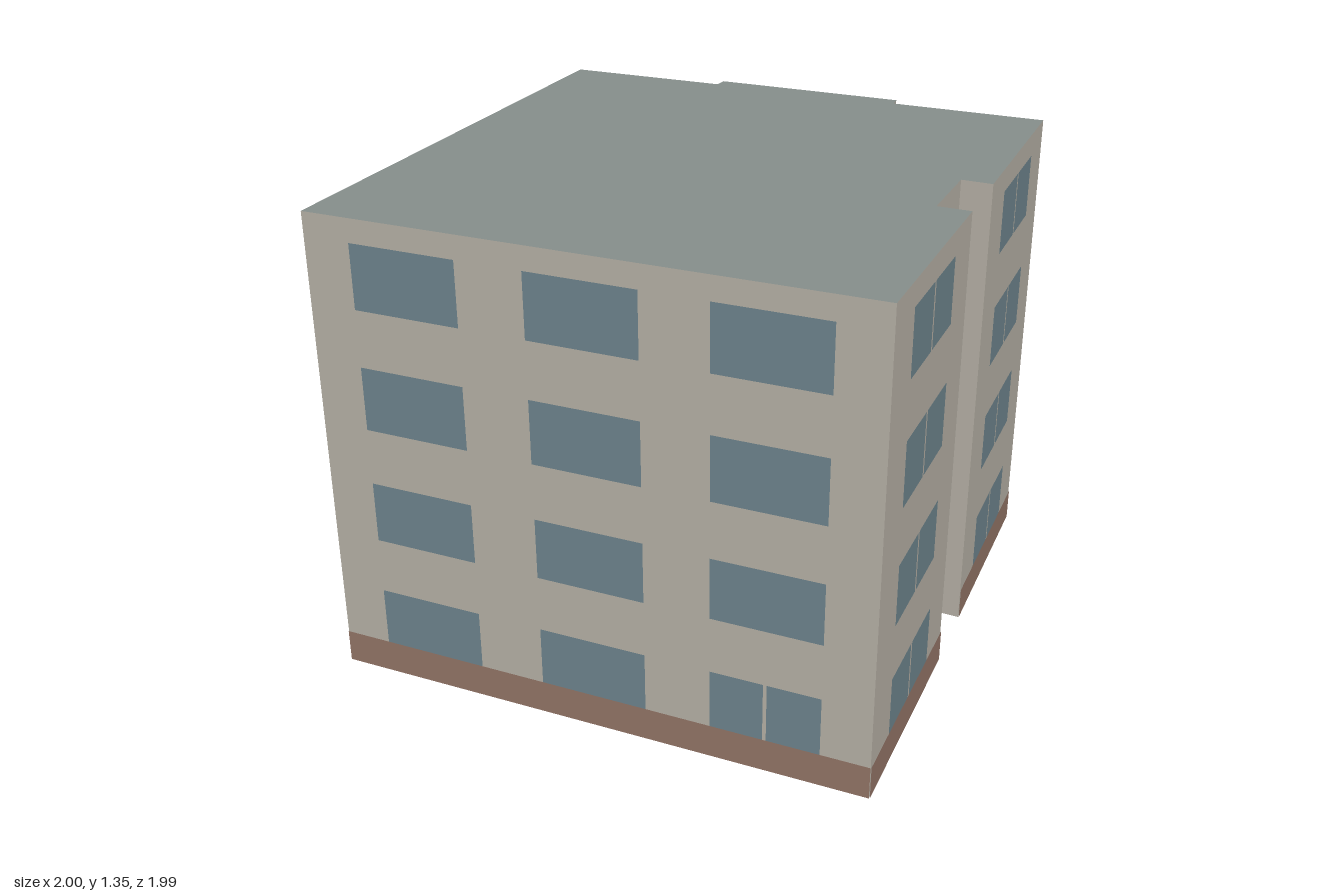
import * as THREE from 'three';

const HEIGHT = 1.345;
const PLINTH = 0.095;
const GAP = 0.01; // mullion between two panes
const ROWS = [[0.095, 0.265], [0.425, 0.6], [0.76, 0.94], [1.1, 1.28]];

const wallMat = new THREE.MeshStandardMaterial({ color: 0xbab4a9, side: THREE.DoubleSide });
const roofMat = new THREE.MeshStandardMaterial({ color: 0x87908d, side: THREE.DoubleSide });
const plinthMat = new THREE.MeshStandardMaterial({ color: 0x967769 });
const glassMat = new THREE.MeshStandardMaterial({ color: 0x708790 });

// Window columns as [start, end, rows with a split pane], along the wall from left to right
const ALL = [0, 1, 2, 3];
const threeBays = [[0.087, 0.282, []], [0.403, 0.6, []], [0.718, 0.913, [0]]];
const oneBay = [[0.225, 0.765, ALL]];
const recessBay = [[0.2, 0.74, ALL]];

// Footprint corners (x, z), counter-clockwise from above, with the bays of the wall that starts there.
// Walls without bays are short plain returns.
const FOOTPRINT = [
  [-0.425, 0.995, 'frontWall', threeBays],
  [1, 0.41, 'rightFrontWall', oneBay],
  [0.755, -0.19, 'recessFrontReturn'],
  [0.668, -0.157, 'recessWall', recessBay],
  [0.583, -0.372, 'recessBackReturn'],
  [0.665, -0.402, 'rightBackWall', oneBay],
  [0.415, -0.995, 'backRightWall', oneBay],
  [-0.012, -0.825, 'backRightReturn'],
  [-0.03, -0.86, 'backCentreWall', oneBay],
  [-0.563, -0.645, 'backLeftReturn'],
  [-0.55, -0.605, 'backLeftWall', oneBay],
  [-1, -0.418, 'leftWall', threeBays],
];

// Upright rectangle in the wall's own plane
function panel(name, x0, x1, y0, y1, z, material) {
  const mesh = new THREE.Mesh(new THREE.PlaneGeometry(x1 - x0, y1 - y0), material);
  mesh.position.set((x0 + x1) / 2, (y0 + y1) / 2, z);
  mesh.name = name;
  return mesh;
}

// One wall between two corners, with its plinth and windows
function buildWall([x0, z0, name, bays], [x1, z1]) {
  const wall = new THREE.Group();
  wall.name = name;
  const length = Math.hypot(x1 - x0, z1 - z0);
  wall.position.set(x0, 0, z0);
  wall.rotation.y = Math.atan2(-(z1 - z0), x1 - x0);
  wall.add(panel('wallFace', 0, length, 0, HEIGHT, 0, wallMat));
  if (!bays) return wall;

  wall.add(panel('plinth', 0, length, 0, PLINTH, 0.002, plinthMat));
  for (const [start, end, splitRows] of bays) {
    const a = start * length, b = end * length, mid = (a + b) / 2;
    ROWS.forEach(([low, high], row) => {
      if (splitRows.includes(row)) {
        wall.add(panel('windowPane', a, mid - GAP / 2, low, high, 0.002, glassMat));
        wall.add(panel('windowPane', mid + GAP / 2, b, low, high, 0.002, glassMat));
      } else {
        wall.add(panel('window', a, b, low, high, 0.002, glassMat));
      }
    });
  }
  return wall;
}

export function createModel() {
  const building = new THREE.Group();
  building.name = 'apartmentBlock';

  // Walls around the footprint, open underneath
  FOOTPRINT.forEach((corner, i) => {
    building.add(buildWall(corner, FOOTPRINT[(i + 1) % FOOTPRINT.length]));
  });

  // Flat roof
  const outline = new THREE.Shape(FOOTPRINT.map(([x, z]) => new THREE.Vector2(x, -z)));
  const roof = new THREE.Mesh(new THREE.ShapeGeometry(outline).rotateX(-Math.PI / 2), roofMat);
  roof.position.y = HEIGHT;
  roof.name = 'roof';
  building.add(roof);

  return building;
}
